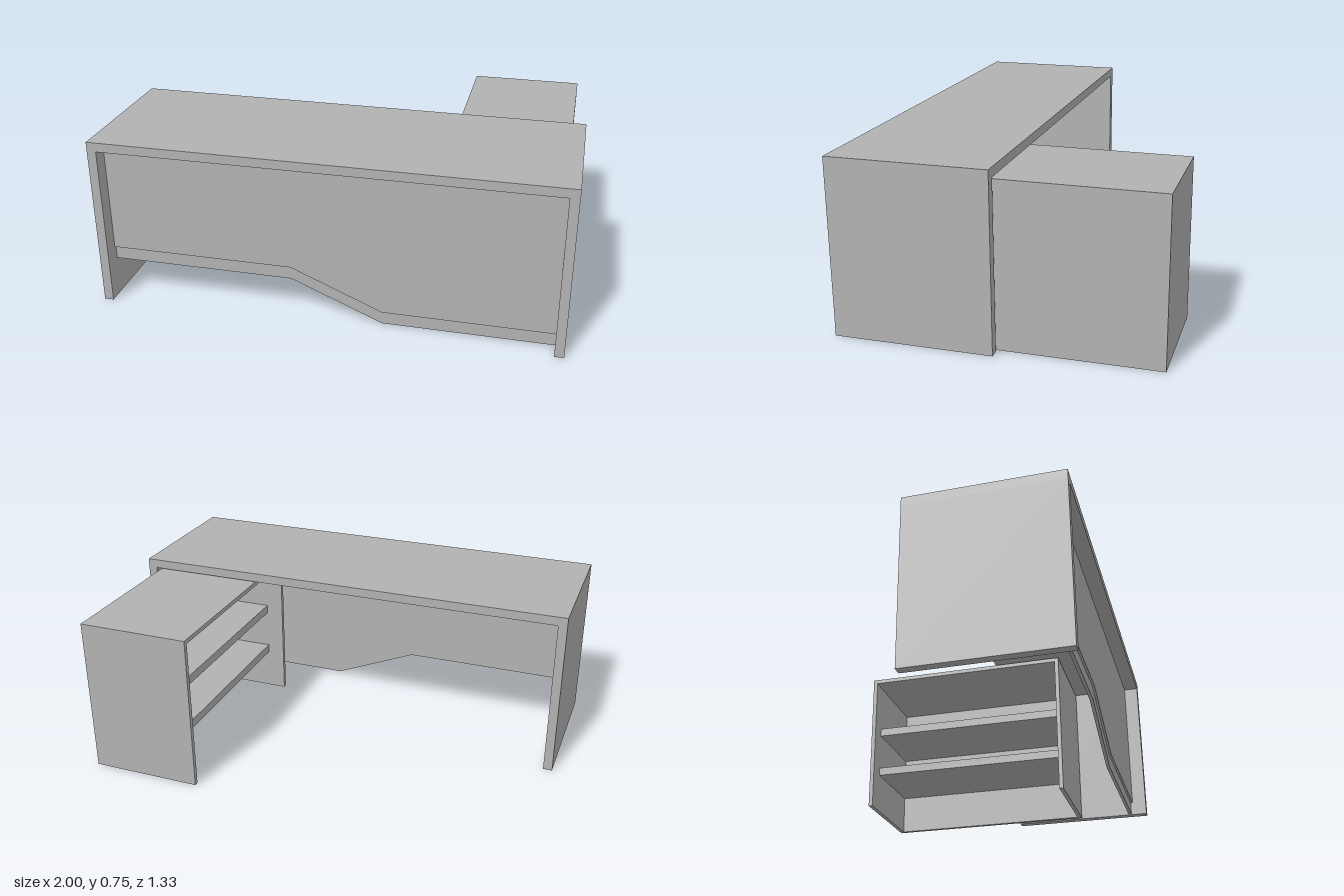
import * as THREE from 'three';

export function createModel() {
  const desk = new THREE.Group();
  desk.name = 'desk';
  const greyBoard = new THREE.MeshStandardMaterial({ color: 0xb2b2b2 });
  greyBoard.name = 'grey board';

  // Box given by its minimum and maximum along each axis
  const board = (name, parent, [x0, x1], [y0, y1], [z0, z1]) => {
    const mesh = new THREE.Mesh(new THREE.BoxGeometry(x1 - x0, y1 - y0, z1 - z0), greyBoard);
    mesh.position.set((x0 + x1) / 2, (y0 + y1) / 2, (z0 + z1) / 2);
    mesh.name = name;
    parent.add(mesh);
  };

  // Main desk: top and two slab legs
  const main = new THREE.Group();
  main.name = 'mainDesk';
  desk.add(main);
  const depth = 0.667;
  board('deskTop', main, [-1, 1], [0.71, 0.75], [0, depth]);
  board('rightLeg', main, [-1, -0.96], [0, 0.71], [0, depth]);
  board('leftLeg', main, [0.96, 1], [0, 0.71], [0, depth]);

  // Front panels with a stepped lower edge; the rear layer hangs lower
  const frontPanel = (name, lift, z, thickness) => {
    const shape = new THREE.Shape([
      [-0.96, 0.17], [-0.16, 0.17], [0.235, 0.004], [0.96, 0.004],
    ].map(([x, y]) => new THREE.Vector2(x, y + lift)));
    shape.lineTo(0.96, 0.71);
    shape.lineTo(-0.96, 0.71);
    shape.closePath();
    const geometry = new THREE.ExtrudeGeometry(shape, { depth: thickness, bevelEnabled: false });
    const mesh = new THREE.Mesh(geometry, greyBoard);
    mesh.position.z = z;
    mesh.name = name;
    main.add(mesh);
  };
  frontPanel('rearFrontPanel', 0, 0.575, 0.015);
  frontPanel('outerFrontPanel', 0.06, 0.59, 0.01);

  // Side cabinet, open toward the seat and running under the desk top
  const cabinet = new THREE.Group();
  cabinet.name = 'sideCabinet';
  desk.add(cabinet);
  const back = -depth, front = 0.333, t = 0.02;
  const width = [0.45, 0.945];
  board('cabinetTop', cabinet, width, [0.68, 0.7], [back + t, front - t]);
  board('cabinetBackEnd', cabinet, width, [0, 0.7], [back, back + t]);
  board('cabinetFrontEnd', cabinet, width, [0, 0.7], [front - t, front]);
  board('cabinetSide', cabinet, [0.925, 0.945], [0, 0.68], [back + t, front - t]);
  for (const y of [0.19, 0.41]) {
    board('shelf', cabinet, [0.53, 0.925], [y, y + 0.04], [back + t, front - t]);
  }
  return desk;
}
